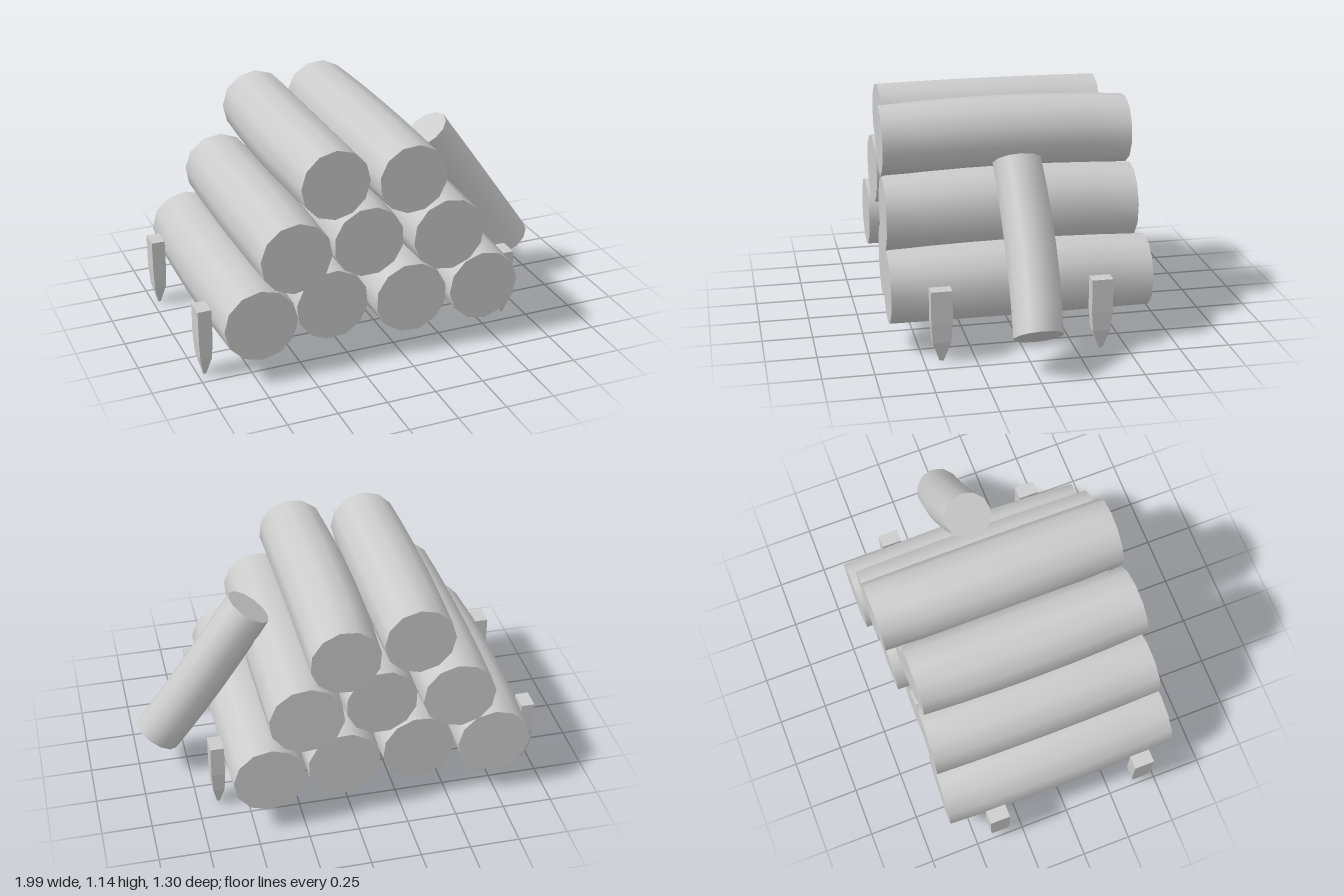
import * as THREE from 'three';
import { mergeVertices } from 'three/addons/utils/BufferGeometryUtils.js';

const material = new THREE.MeshStandardMaterial({ color: 0xcccccc });
const flatMaterial = new THREE.MeshStandardMaterial({ color: 0xcccccc, flatShading: true });

// Slightly bowed, slightly swollen log along y, with tilted sawn ends.
function logGeometry({ length, radius, sides = 12, swell = 0.05, bow = [0, 0], tilt = [0, 0], phase = 0 }) {
  let geo = new THREE.CylinderGeometry(radius, radius, length, sides, 6);
  geo.deleteAttribute('uv');
  geo = mergeVertices(geo); // closes the seam, keeps the rims sharp
  geo.rotateY(phase);
  const pos = geo.attributes.position;
  for (let i = 0; i < pos.count; i++) {
    const x = pos.getX(i), y = pos.getY(i), z = pos.getZ(i);
    const t = (2 * y) / length;
    const arch = 1 - t * t;
    const scale = 1 + swell * arch;
    const slant = y > 0 ? tilt[0] : tilt[1];
    pos.setXYZ(i, x * scale + bow[0] * arch, y + slant * x * Math.abs(t), z * scale + bow[1] * arch);
  }
  geo.computeVertexNormals();
  return geo;
}

// Stacked logs: x, y, front z, back z, radius, [bow x, bow y], [front, back end tilt]
const stack = [
  ['bottomLog1', -0.73, 0.31, 0.61, -0.60, 0.184, [-0.01, 0.01], [0.01, 0.05]],
  ['bottomLog2', -0.345, 0.312, 0.55, -0.57, 0.184, [0.005, 0.005], [0.03, -0.03]],
  ['bottomLog3', 0.042, 0.308, 0.62, -0.61, 0.184, [-0.005, 0.01], [0.04, 0.02]],
  ['bottomLog4', 0.422, 0.308, 0.642, -0.65, 0.182, [0.005, 0.01], [0.02, 0]],
  ['middleLog1', -0.54, 0.617, 0.59, -0.59, 0.182, [-0.002, 0.005], [-0.02, 0.05]],
  ['middleLog2', -0.155, 0.618, 0.555, -0.56, 0.181, [0.005, 0.007], [0.02, -0.02]],
  ['middleLog3', 0.232, 0.62, 0.632, -0.625, 0.186, [-0.005, 0.01], [0.02, 0.03]],
  ['topLog1', -0.335, 0.957, 0.58, -0.57, 0.176, [-0.007, -0.005], [-0.02, 0.02]],
  ['topLog2', 0.045, 0.94, 0.62, -0.635, 0.174, [-0.01, 0.012], [0.02, 0]],
];

// Square stake with a sharpened foot
function stakeGeometry() {
  const profile = [[0, 0], [0.2, 0], [0.85, 0.1], [1, 0.2], [1, 0.365], [0, 0.365]]
    .map(([r, y]) => new THREE.Vector2(r * Math.SQRT2, y));
  return new THREE.LatheGeometry(profile, 4, Math.PI / 4).scale(0.034, 1, 0.052);
}

export function createModel() {
  const group = new THREE.Group();
  const add = (name, geometry, mat = material) => {
    const mesh = new THREE.Mesh(geometry, mat);
    mesh.name = name;
    group.add(mesh);
    return mesh;
  };

  // Pyramid of logs lying along z
  stack.forEach(([name, x, y, front, back, radius, bow, tilt], i) => {
    const geo = logGeometry({
      length: front - back, radius, tilt, phase: i * 0.37, bow: [bow[0], -bow[1]],
    });
    geo.rotateX(Math.PI / 2);
    add(name, geo).position.set(x, y, (front + back) / 2);
  });

  // Thinner log leaning against the side of the pile
  const foot = new THREE.Vector3(0.893, 0.19, -0.01);
  const tip = new THREE.Vector3(0.395, 0.9, -0.005);
  const axis = tip.clone().sub(foot);
  const leaning = add('leaningLog', logGeometry({
    length: axis.length(), radius: 0.121, swell: 0.03, bow: [0, -0.015],
  }));
  leaning.position.copy(foot).add(tip).multiplyScalar(0.5);
  leaning.rotation.z = Math.atan2(-axis.x, axis.y);

  // Four stakes holding the pile
  for (const [side, x] of [['right', -0.965], ['left', 0.645]]) {
    for (const [end, z] of [['Front', 0.415], ['Back', -0.373]]) {
      add(`${side}${end}Stake`, stakeGeometry(), flatMaterial).position.set(x, 0, z);
    }
  }
  return group;
}
